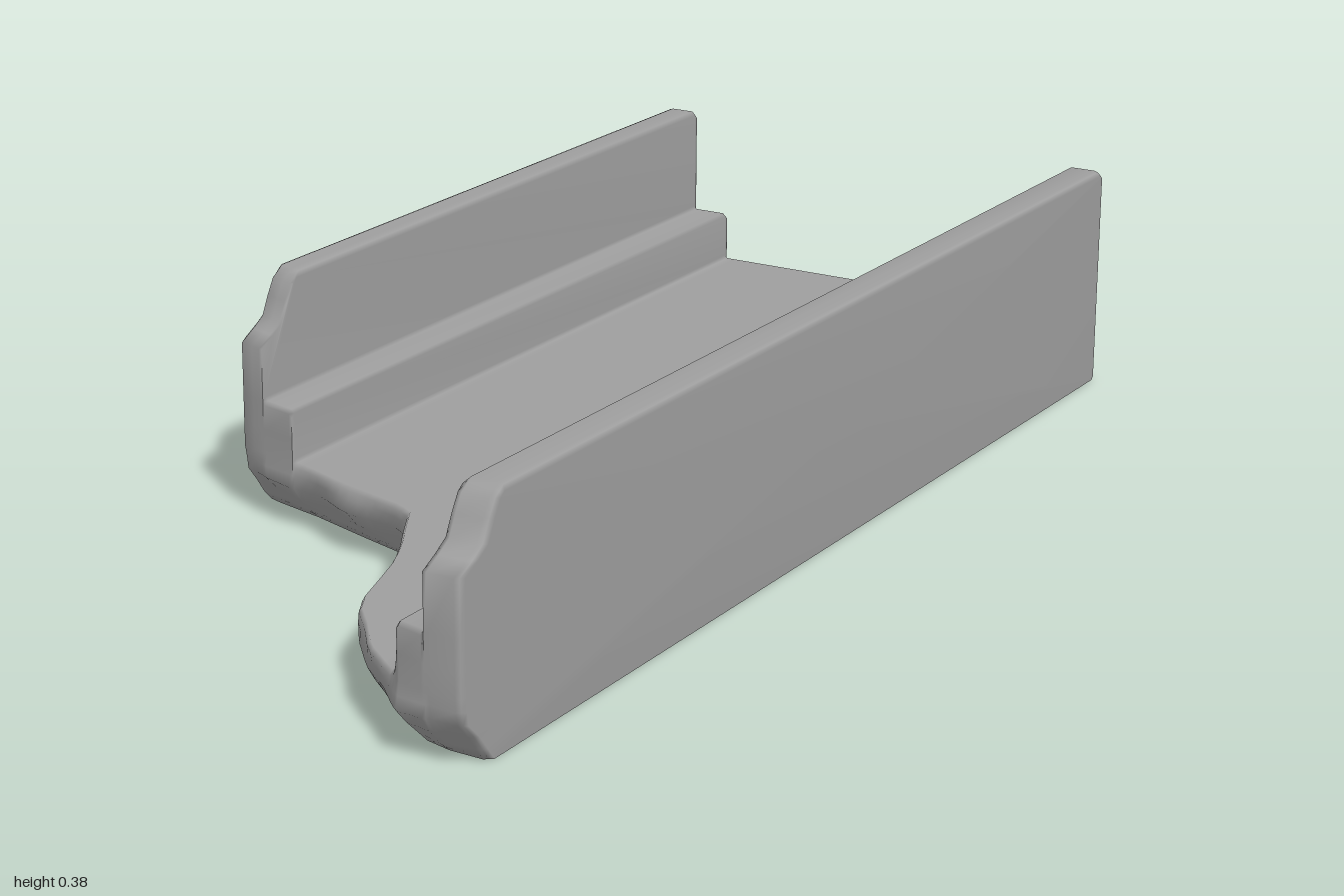
import * as THREE from 'three';
import { mergeVertices } from 'three/addons/utils/BufferGeometryUtils.js';

// Piecewise linear lookup through [key, value] pairs
function lookup(pairs, k) {
  for (let i = 1; i < pairs.length; i++) {
    const [a, va] = pairs[i - 1], [b, vb] = pairs[i];
    if (k <= b) return va + (vb - va) * Math.max(0, (k - a) / (b - a));
  }
  return pairs[pairs.length - 1][1];
}

// Broken front edge seen from above: [x, z]
const brokenEdge = [
  [-0.437, 0.305], [-0.425, 0.33], [-0.4, 0.338], [-0.31, 0.36], [-0.2, 0.395], [-0.1, 0.425],
  [-0.06, 0.432], [-0.03, 0.45], [0, 0.505], [0.04, 0.575], [0.08, 0.665], [0.1, 0.74], [0.12, 0.79],
  [0.17, 0.845], [0.22, 0.91], [0.29, 0.96], [0.34, 0.998], [0.425, 1], [0.437, 0.99],
];
// How far the broken face falls back at each height: [y, inset]
const worn = [
  [0, 0.065], [0.02, 0.045], [0.07, 0], [0.28, 0], [0.295, 0.03],
  [0.31, 0.055], [0.34, 0.07], [0.365, 0.085], [0.38, 0.11],
];
const levels = [0, 0.02, 0.045, 0.07, 0.09, 0.11, 0.15, 0.195, 0.28, 0.295, 0.31, 0.34, 0.365, 0.38];

// Height of the channel across its width, with softened corners: [x, top]
function crossSection() {
  const s = [
    [-0.437, 0.372], [-0.431, 0.378], [-0.425, 0.38], [-0.4, 0.38], [-0.383, 0.38], [-0.377, 0.373],
    [-0.377, 0.2], [-0.372, 0.195], [-0.316, 0.195], [-0.31, 0.19], [-0.31, 0.115], [-0.305, 0.11],
  ];
  for (let i = 1; i < 30; i++) s.push([-0.31 + i * 0.02, 0.11]);
  s.push(
    [0.297, 0.11], [0.307, 0.115], [0.314, 0.126], [0.319, 0.145], [0.321, 0.165], [0.321, 0.19], [0.327, 0.195],
    [0.37, 0.195], [0.375, 0.2], [0.375, 0.373], [0.381, 0.38], [0.425, 0.38], [0.431, 0.378], [0.437, 0.372],
  );
  return s;
}

function channelGeometry() {
  // One lengthwise loop per station: up the broken face, back along the top, down the rear
  const loops = crossSection().map(([x, top]) => {
    const loop = levels.map((level) => {
      const y = Math.min(level, top - 0.006);
      const ripple = 0.008 * Math.sin(x * 38 + y * 25) * Math.sin(Math.PI * Math.min(1, y / 0.11));
      const z = Math.min(1, lookup(brokenEdge, x) - lookup(worn, y) + ripple);
      return new THREE.Vector3(x, y, z);
    });
    loop.push(
      new THREE.Vector3(x, top, loop[loop.length - 1].z - 0.008),
      new THREE.Vector3(x, top, -0.994), new THREE.Vector3(x, top - 0.006, -1),
      new THREE.Vector3(x, 0.006, -1), new THREE.Vector3(x, 0, -0.994),
    );
    return loop;
  });

  const pos = [];
  const tri = (a, b, c) => {
    const area = b.clone().sub(a).cross(c.clone().sub(a)).length();
    if (area > 1e-9) for (const p of [a, b, c]) pos.push(p.x, p.y, p.z);
  };
  const n = loops[0].length;
  for (let s = 0; s < loops.length - 1; s++) {
    const a = loops[s], b = loops[s + 1];
    for (let i = 0; i < n; i++) {
      const j = (i + 1) % n;
      tri(a[i], b[i], b[j]);
      tri(a[i], b[j], a[j]);
    }
  }
  // Outer side faces
  const first = loops[0], last = loops[loops.length - 1];
  const centre = (l) => new THREE.Vector3(l[0].x, 0.18, (l[0].z - 1) / 2);
  for (let i = 0; i < n; i++) {
    const j = (i + 1) % n;
    tri(centre(first), first[i], first[j]);
    tri(centre(last), last[j], last[i]);
  }

  // Shared vertices give soft, worn edges
  const geometry = new THREE.BufferGeometry();
  geometry.setAttribute('position', new THREE.Float32BufferAttribute(pos, 3));
  const soft = mergeVertices(geometry);
  soft.computeVertexNormals();
  return soft;
}

export function createModel() {
  const group = new THREE.Group();
  group.name = 'brokenChannel';
  const channel = new THREE.Mesh(channelGeometry(), new THREE.MeshStandardMaterial({ color: 0x9e9e9e }));
  channel.name = 'steppedTrough';
  group.add(channel);
  return group;
}
